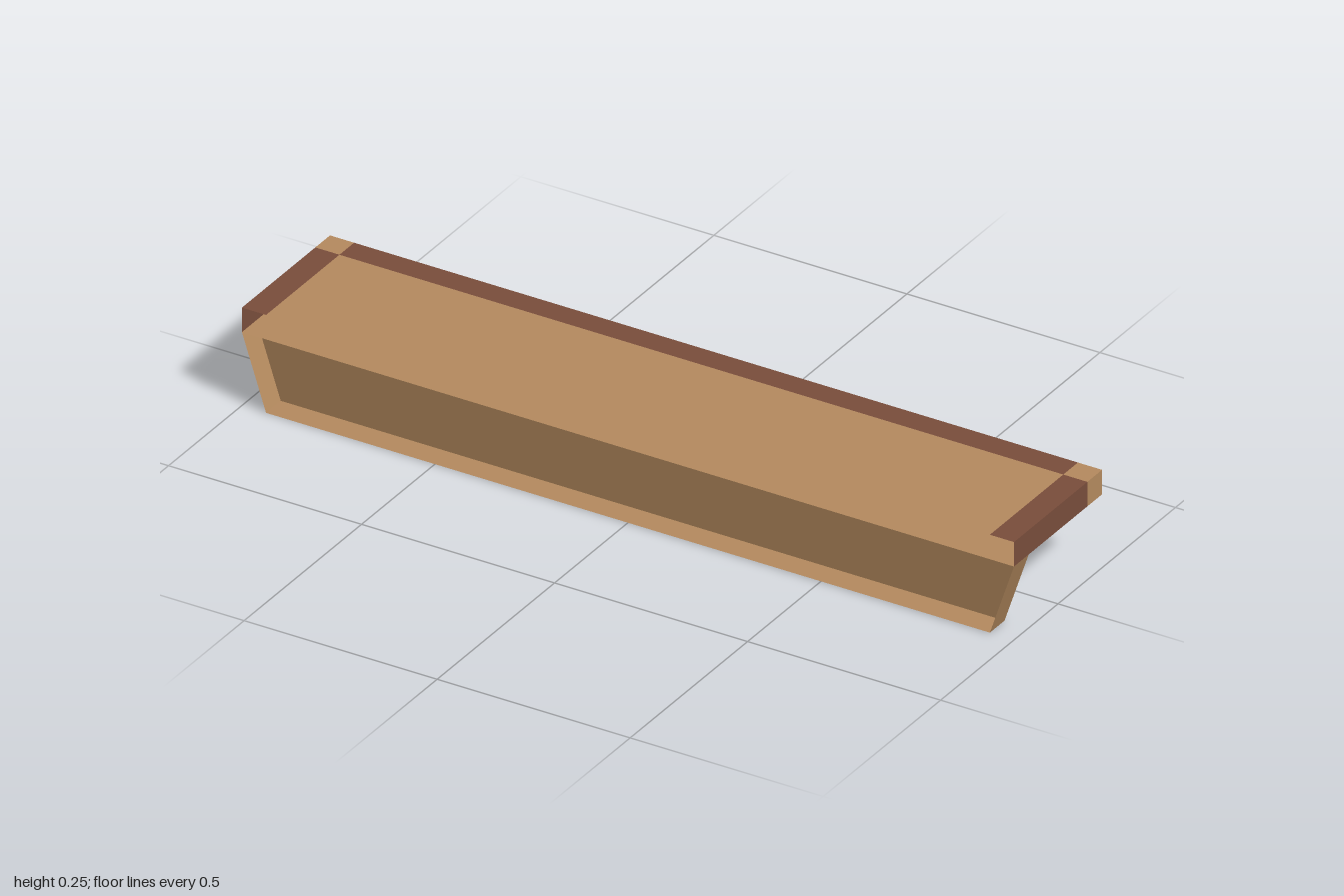
import * as THREE from 'three';

const lightWood = new THREE.MeshStandardMaterial({ color: 0xb68b5f, side: THREE.DoubleSide });
lightWood.name = 'lightWood';
const darkWood = new THREE.MeshStandardMaterial({ color: 0x7a4e3c, side: THREE.DoubleSide });
darkWood.name = 'darkWood';

// Flat four-cornered panel, corners counter-clockwise seen from outside
function panel(name, material, a, b, c, d) {
  const geometry = new THREE.BufferGeometry();
  geometry.setAttribute('position', new THREE.Float32BufferAttribute([...a, ...b, ...c, ...d], 3));
  geometry.setIndex([0, 1, 2, 0, 2, 3]);
  geometry.computeVertexNormals();
  const mesh = new THREE.Mesh(geometry, material);
  mesh.name = name;
  return mesh;
}

const U = 0.0625;           // basic plank thickness
const W = 1, IN = W - U;    // half length and inset of the border
const F = 3 * U, B = -3 * U, BI = B + U; // front, back, border inset at the back
const Y0 = 3 * U, Y1 = 4 * U;            // shelf underside and top

// Shelf board: open at the front, with a dark border and light back corners
function makeShelf() {
  const shelf = new THREE.Group();
  shelf.name = 'shelfBoard';
  const top = (name, m, x0, x1, z0, z1) =>
    shelf.add(panel(name, m, [x0, Y1, z1], [x1, Y1, z1], [x1, Y1, z0], [x0, Y1, z0]));
  const back = (name, m, x0, x1) =>
    shelf.add(panel(name, m, [x1, Y0, B], [x0, Y0, B], [x0, Y1, B], [x1, Y1, B]));
  const sideFace = (name, m, s, z0, z1) => {
    const p = [[s * W, Y0, z1], [s * W, Y0, z0], [s * W, Y1, z0], [s * W, Y1, z1]];
    shelf.add(panel(name, m, ...(s > 0 ? p : p.reverse())));
  };

  top('topCentre', lightWood, -IN, IN, BI, F);
  top('topBackBorder', darkWood, -IN, IN, B, BI);
  back('backEdge', darkWood, -IN, IN);
  shelf.add(panel('underside', lightWood, [-W, Y0, B], [W, Y0, B], [W, Y0, F], [-W, Y0, F]));
  for (const s of [-1, 1]) {
    const x0 = s > 0 ? IN : -W, x1 = x0 + U;
    top('topSideBorder', darkWood, x0, x1, BI, F);
    top('topCorner', lightWood, x0, x1, B, BI);
    back('backCorner', lightWood, x0, x1);
    sideFace('sideEdge', darkWood, s, BI, F);
    sideFace('sideCorner', lightWood, s, B, BI);
  }
  return shelf;
}

// Apron: tapered shallow tray, open at the front
function makeApron() {
  const apron = new THREE.Group();
  apron.name = 'apron';
  const Z = F - U;
  apron.add(panel('apronBack', lightWood, [IN, 0, Z], [-IN, 0, Z], [-W, Y0, Z], [W, Y0, Z]));
  apron.add(panel('apronBottom', lightWood, [-IN, 0, Z], [IN, 0, Z], [IN, 0, F], [-IN, 0, F]));
  for (const s of [-1, 1]) {
    const p = [[s * IN, 0, F], [s * IN, 0, Z], [s * W, Y0, Z], [s * W, Y0, F]];
    apron.add(panel('apronSide', lightWood, ...(s > 0 ? p : p.reverse())));
  }
  return apron;
}

// Stepped bracket under the shelf, each step reaching further back
function makeBracket(x) {
  const front = F - U - 0.0005, top = Y0 - 0.0005;
  const shape = new THREE.Shape([
    [-front, 0], [-U, 0], [-U, U], [0, U], [0, 2 * U], [U, 2 * U], [U, top], [-front, top],
  ].map(([a, y]) => new THREE.Vector2(a, y)));
  const geometry = new THREE.ExtrudeGeometry(shape, { depth: U, bevelEnabled: false });
  geometry.translate(0, 0, -U / 2).rotateY(Math.PI / 2); // profile axis now points backwards
  const mesh = new THREE.Mesh(geometry, darkWood);
  mesh.name = 'steppedBracket';
  mesh.position.x = x;
  return mesh;
}

export function createModel() {
  const model = new THREE.Group();
  model.name = 'wallShelf';
  model.add(makeShelf(), makeApron());
  for (const s of [-1, 1]) model.add(makeBracket(s * 13.5 * U));
  return model;
}
